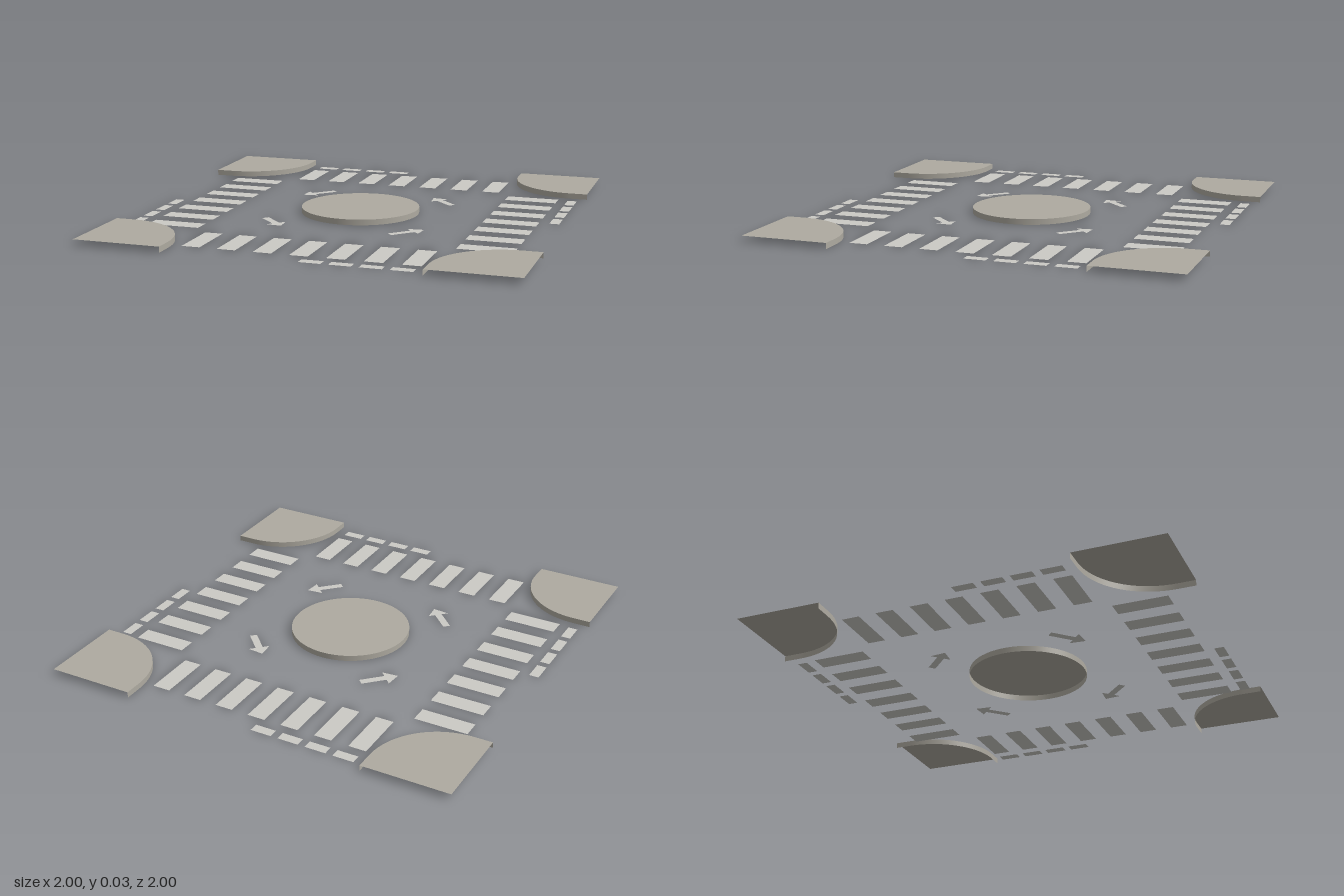
import * as THREE from 'three';

const HEIGHT = 0.027;

const curbStone = new THREE.MeshStandardMaterial({ color: 0xaeaaa0, side: THREE.DoubleSide });
curbStone.name = 'curbStone';
const roadPaint = new THREE.MeshStandardMaterial({ color: 0xcbcac5, side: THREE.DoubleSide });
roadPaint.name = 'roadPaint';

function addMesh(parent, name, geometry, material) {
  const mesh = new THREE.Mesh(geometry, material);
  mesh.name = name;
  parent.add(mesh);
  return mesh;
}

// Lay a plan shape (x right, y toward the back) flat at the given height
function flat(shape, y = 0) {
  return new THREE.ShapeGeometry(shape, 24).rotateX(-Math.PI / 2).translate(0, y, 0);
}

function rectangle(x, back, width, depth) {
  return new THREE.PlaneGeometry(width, depth).rotateX(-Math.PI / 2).translate(x, 0, -back);
}

// Upright strip following a line of plan points
function wall(points) {
  const positions = [], index = [];
  points.forEach((p, i) => {
    positions.push(p.x, 0, -p.y, p.x, HEIGHT, -p.y);
    const a = i * 2;
    if (i < points.length - 1) index.push(a, a + 2, a + 1, a + 1, a + 2, a + 3);
  });
  const geometry = new THREE.BufferGeometry();
  geometry.setAttribute('position', new THREE.Float32BufferAttribute(positions, 3));
  geometry.setIndex(index);
  geometry.computeVertexNormals();
  return geometry;
}

// Pavement corner: top sheet and rounded curb, open at the outer sides and below
function pavementCorner() {
  const group = new THREE.Group();
  group.name = 'pavementCorner';
  const inner = 0.585, radius = 0.33, centre = inner + radius;
  const edge = [new THREE.Vector2(inner, 1)];
  for (let i = 0; i <= 24; i++) {
    const a = Math.PI * (1 + i / 48);
    edge.push(new THREE.Vector2(centre + radius * Math.cos(a), centre + radius * Math.sin(a)));
  }
  edge.push(new THREE.Vector2(1, inner));
  const top = new THREE.Shape([new THREE.Vector2(1, 1), ...edge]);
  addMesh(group, 'pavementTop', flat(top, HEIGHT), curbStone);
  addMesh(group, 'pavementCurb', wall(edge), curbStone);
  return group;
}

// Direction arrow, centred and pointing along +x before it is turned
function arrowGeometry() {
  const half = 0.09, neck = 0.03, shaft = 0.017, head = 0.05;
  const outline = [[half, 0], [neck, head], [neck, shaft], [-half, shaft],
    [-half, -shaft], [neck, -shaft], [neck, -head]];
  return flat(new THREE.Shape(outline.map(([x, y]) => new THREE.Vector2(x, y))));
}

// One quarter: back crossing, its give-way dashes, a corner and an arrow
function quarter() {
  const group = new THREE.Group();
  group.name = 'junctionQuarter';
  group.add(pavementCorner());
  for (let i = -3; i <= 3; i++) {
    addMesh(group, 'crossingStripe', rectangle(i * 0.167, 0.737, 0.085, 0.254), roadPaint);
  }
  for (let i = 0; i < 4; i++) {
    addMesh(group, 'giveWayDash', rectangle(-0.484 + i * 0.134, 0.935, 0.1, 0.046), roadPaint);
  }
  const arrow = addMesh(group, 'directionArrow', arrowGeometry(), roadPaint);
  arrow.position.set(0.325, 0, -0.325);
  arrow.rotation.y = Math.PI * 0.75;
  return group;
}

export function createModel() {
  const model = new THREE.Group();
  model.name = 'roundaboutJunction';

  for (let i = 0; i < 4; i++) {
    const part = quarter();
    part.rotation.y = i * Math.PI / 2;
    model.add(part);
  }

  // Central island: disc with an open underside
  const island = new THREE.Group();
  island.name = 'centralIsland';
  const radius = 0.283;
  addMesh(island, 'islandTop',
    new THREE.CircleGeometry(radius, 64).rotateX(-Math.PI / 2).translate(0, HEIGHT, 0), curbStone);
  addMesh(island, 'islandCurb',
    new THREE.CylinderGeometry(radius, radius, HEIGHT, 64, 1, true).translate(0, HEIGHT / 2, 0), curbStone);
  model.add(island);

  return model;
}
